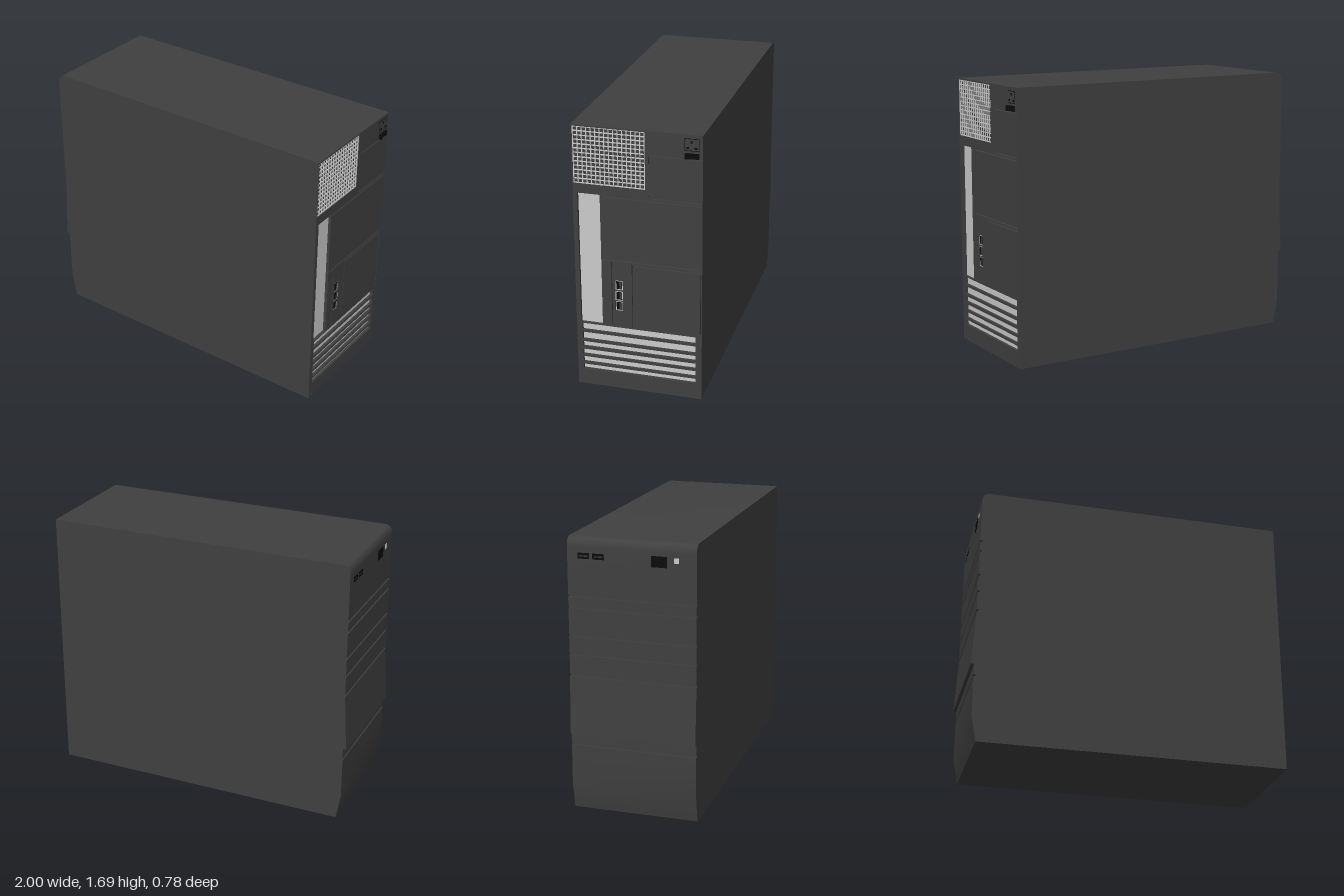
import * as THREE from 'three';
import { toCreasedNormals } from 'three/addons/utils/BufferGeometryUtils.js';

const dark = new THREE.MeshStandardMaterial({ color: 0x404040 });
const black = new THREE.MeshStandardMaterial({ color: 0x0c0c0c });
const grey = new THREE.MeshStandardMaterial({ color: 0xcccccc });

const H = 1.69, W = 0.39, FRONT = -0.98, REAR = 0.98, FLOOR = 0.955;

function add(parent, name, geometry, material) {
  const mesh = new THREE.Mesh(geometry, material);
  mesh.name = name;
  parent.add(mesh);
  return mesh;
}

// Box given by its limits on each axis
function box(parent, name, [x0, x1], [y0, y1], [z0, z1], material) {
  const g = new THREE.BoxGeometry(x1 - x0, y1 - y0, z1 - z0);
  g.translate((x0 + x1) / 2, (y0 + y1) / 2, (z0 + z1) / 2);
  return add(parent, name, g, material);
}

// Side profile extruded across the full width
function acrossWidth(shape) {
  const g = new THREE.ExtrudeGeometry(shape, { depth: 2 * W, bevelEnabled: false, curveSegments: 10 });
  g.translate(0, 0, -W);
  return toCreasedNormals(g, 0.6);
}

// Rectangular opening in the rear plate (plate x runs along -z)
function opening([y0, y1], [z0, z1]) {
  return new THREE.Path([
    new THREE.Vector2(-z0, y0), new THREE.Vector2(-z0, y1),
    new THREE.Vector2(-z1, y1), new THREE.Vector2(-z1, y0),
  ]);
}

export function createModel() {
  const tower = new THREE.Group();
  tower.name = 'computerTower';

  // Case: chamfered foot, rounded top and bay seams notched into the bezel
  const s = new THREE.Shape();
  s.moveTo(-0.95, 0);
  s.lineTo(FLOOR, 0);
  s.lineTo(FLOOR, H);
  s.lineTo(FRONT + 0.05, H);
  s.quadraticCurveTo(FRONT, H, FRONT, H - 0.06);
  for (const y of [1.34, 1.27, 1.1, 0.985, 0.855, 0.42]) {
    s.lineTo(FRONT, y + 0.006);
    s.lineTo(FRONT + 0.012, y + 0.006);
    s.lineTo(FRONT + 0.012, y - 0.006);
    s.lineTo(FRONT, y - 0.006);
  }
  s.lineTo(FRONT, 0.16);
  s.closePath();
  add(tower, 'case', acrossWidth(s), dark);

  // Sloping front door
  const door = new THREE.Shape();
  door.moveTo(FRONT + 0.005, 0.495);
  door.lineTo(FRONT + 0.005, 0.845);
  door.lineTo(FRONT, 0.845);
  door.lineTo(-1, 0.495);
  door.closePath();
  add(tower, 'frontDoor', acrossWidth(door), dark);

  // Front ports and buttons
  for (const z of [-0.29, -0.2]) {
    box(tower, 'frontPort', [FRONT - 0.001, FRONT + 0.01], [1.565, 1.6], [z - 0.035, z + 0.035], black);
    box(tower, 'frontPortTongue', [FRONT - 0.002, FRONT + 0.01], [1.578, 1.585], [z - 0.025, z + 0.025], dark);
  }
  box(tower, 'powerButton', [FRONT - 0.002, FRONT + 0.01], [1.545, 1.61], [0.12, 0.215], black);
  box(tower, 'resetButton', [FRONT - 0.002, FRONT + 0.01], [1.575, 1.605], [0.255, 0.285], grey);

  // Rear plate with openings and panel seams
  const grille = { y: [1.33, 1.68], z: [-0.05, 0.383] };
  const backing = { y: [0.425, 1.27], z: [0.225, 0.362] };
  const slots = [[0.372, 0.418], [0.308, 0.357], [0.257, 0.293], [0.203, 0.24], [0.15, 0.189], [0.104, 0.136]];
  const slotZ = [-0.352, 0.355];
  const ports = [0.7, 0.63, 0.563];
  const portZ = [0.095, 0.142];
  const plate = new THREE.Shape();
  plate.moveTo(-W, 0);
  plate.lineTo(W, 0);
  plate.lineTo(W, H);
  plate.lineTo(-W, H);
  plate.closePath();
  plate.holes.push(opening(grille.y, grille.z), opening(backing.y, backing.z));
  for (const y of slots) plate.holes.push(opening(y, slotZ));
  for (const y of ports) plate.holes.push(opening([y - 0.031, y + 0.031], portZ));
  const seams = [
    [[1.258, 1.264], [-0.384, 0.215]], [[0.857, 0.863], [-0.384, 0.215]],
    [[0.836, 0.842], [-0.384, 0.028]], [[0.435, 0.83], [-0.384, -0.379]],
    [[0.425, 0.85], [0.16, 0.164]], [[0.425, 0.85], [0.034, 0.038]],
    [[1.539, 1.544], [-0.384, -0.075]], [[1.276, 1.281], [-0.384, -0.08]],
    [[1.49, 1.536], [-0.074, -0.069]], [[1.284, 1.3], [-0.074, -0.069]],
  ];
  for (const [y, z] of seams) plate.holes.push(opening(y, z));
  const plateGeometry = new THREE.ExtrudeGeometry(plate, { depth: REAR - FLOOR, bevelEnabled: false });
  plateGeometry.rotateY(Math.PI / 2);
  plateGeometry.translate(FLOOR, 0, 0);
  add(tower, 'rearPlate', plateGeometry, dark);

  // Ventilation grille
  const vent = new THREE.Group();
  vent.name = 'ventGrille';
  tower.add(vent);
  const wire = 0.0028, cols = 16, rows = 13;
  for (let i = 0; i <= cols; i++) {
    const z = THREE.MathUtils.lerp(grille.z[0] + wire, grille.z[1] - wire, i / cols);
    box(vent, 'grilleBar', [0.972, 0.978], grille.y, [z - wire, z + wire], grey);
  }
  for (let i = 0; i <= rows; i++) {
    const y = THREE.MathUtils.lerp(grille.y[0] + wire, grille.y[1] - wire, i / rows);
    box(vent, 'grilleBar', [0.972, 0.9775], [y - wire, y + wire], grille.z, grey);
  }

  // Recessed connector panel and expansion slot covers
  box(tower, 'connectorPanel', [FLOOR, 0.962], backing.y, backing.z, grey);
  for (const y of slots) box(tower, 'slotCover', [FLOOR, 0.962], y, slotZ, grey);

  // Rear ports: light frame around a dark socket
  for (const y of ports) {
    box(tower, 'rearPortFrame', [FLOOR, 0.976], [y - 0.031, y + 0.031], portZ, grey);
    box(tower, 'rearPortSocket', [FLOOR, 0.9775], [y - 0.025, y + 0.025], [portZ[0] + 0.006, portZ[1] - 0.006], black);
    box(tower, 'rearPortTongue', [FLOOR, 0.979], [y - 0.023, y + 0.023], [portZ[0] + 0.008, portZ[0] + 0.022], dark);
  }

  // Power inlet with three pins
  box(tower, 'powerInletRim', [FLOOR, REAR + 0.001], [1.594, 1.668], [-0.37, -0.282], black);
  box(tower, 'powerInlet', [FLOOR, REAR + 0.002], [1.598, 1.664], [-0.366, -0.286], dark);
  for (const [y, z] of [[1.648, -0.326], [1.612, -0.302], [1.612, -0.35]]) {
    box(tower, 'powerPin', [FLOOR, REAR + 0.004], [y - 0.006, y + 0.006], [z - 0.007, z + 0.007], black);
  }

  // Tilted rocker switch
  const rocker = new THREE.Shape();
  rocker.moveTo(0.97, 0.285);
  rocker.lineTo(1, 0.288);
  rocker.lineTo(0.987, 0.328);
  rocker.lineTo(0.99, 0.368);
  rocker.lineTo(0.97, 0.37);
  rocker.closePath();
  const rockerGeometry = new THREE.ExtrudeGeometry(rocker, { depth: 0.032, bevelEnabled: false });
  rockerGeometry.rotateX(-Math.PI / 2);
  rockerGeometry.translate(0, 1.549, 0);
  add(tower, 'powerSwitch', rockerGeometry, black);

  return tower;
}
